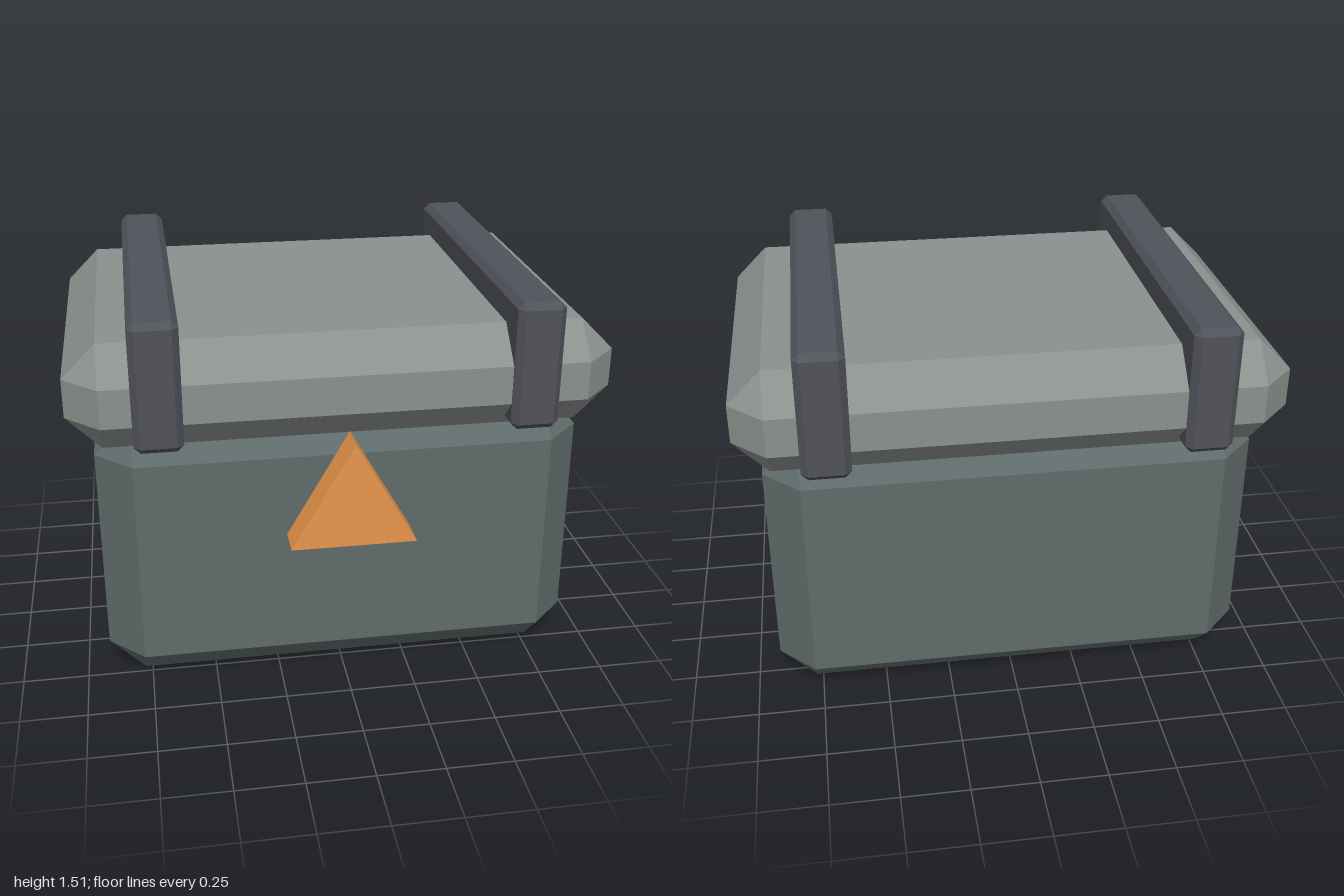
import * as THREE from 'three';
import { ConvexGeometry } from 'three/addons/geometries/ConvexGeometry.js';

const mat = (color) => new THREE.MeshStandardMaterial({ color, flatShading: true });

// Box with every edge cut by a single flat bevel, given by its min and max corners
function bevelBox(name, min, max, bevel, material) {
  const half = min.map((v, i) => (max[i] - v) / 2);
  const points = [];
  for (const sx of [-1, 1]) for (const sy of [-1, 1]) for (const sz of [-1, 1]) {
    for (let axis = 0; axis < 3; axis++) {
      const [x, y, z] = half.map((h, i) => (i === axis ? h : h - bevel));
      points.push(new THREE.Vector3(sx * x, sy * y, sz * z));
    }
  }
  const mesh = new THREE.Mesh(new ConvexGeometry(points), material);
  mesh.position.set(...min.map((v, i) => (v + max[i]) / 2));
  mesh.name = name;
  return mesh;
}

export function createModel() {
  const group = new THREE.Group();
  group.name = 'chest';

  // Body and overhanging lid
  group.add(bevelBox('body', [-0.91, 0, -0.68], [0.91, 1.075, 0.605], 0.135, mat(0x5f6b6a)));
  group.add(bevelBox('lid', [-1, 1, -0.755], [1, 1.395, 0.67], 0.125, mat(0x8a918d)));

  // Straps running front to back over the lid
  const strapMaterial = mat(0x50525a);
  for (const [name, x] of [['rightStrap', -0.677], ['leftStrap', 0.677]]) {
    group.add(bevelBox(name, [x - 0.088, 1.027, -0.78], [x + 0.088, 1.508, 0.697], 0.024, strapMaterial));
  }

  // Triangular clasp in front of the body
  const triangle = new THREE.Shape([
    new THREE.Vector2(-0.23, 0.655),
    new THREE.Vector2(0.23, 0.655),
    new THREE.Vector2(0, 1.055),
  ]);
  const clasp = new THREE.Mesh(
    new THREE.ExtrudeGeometry(triangle, { depth: 0.122, bevelEnabled: false }),
    mat(0xe8964c)
  );
  clasp.position.z = 0.658;
  clasp.name = 'clasp';
  group.add(clasp);

  return group;
}
